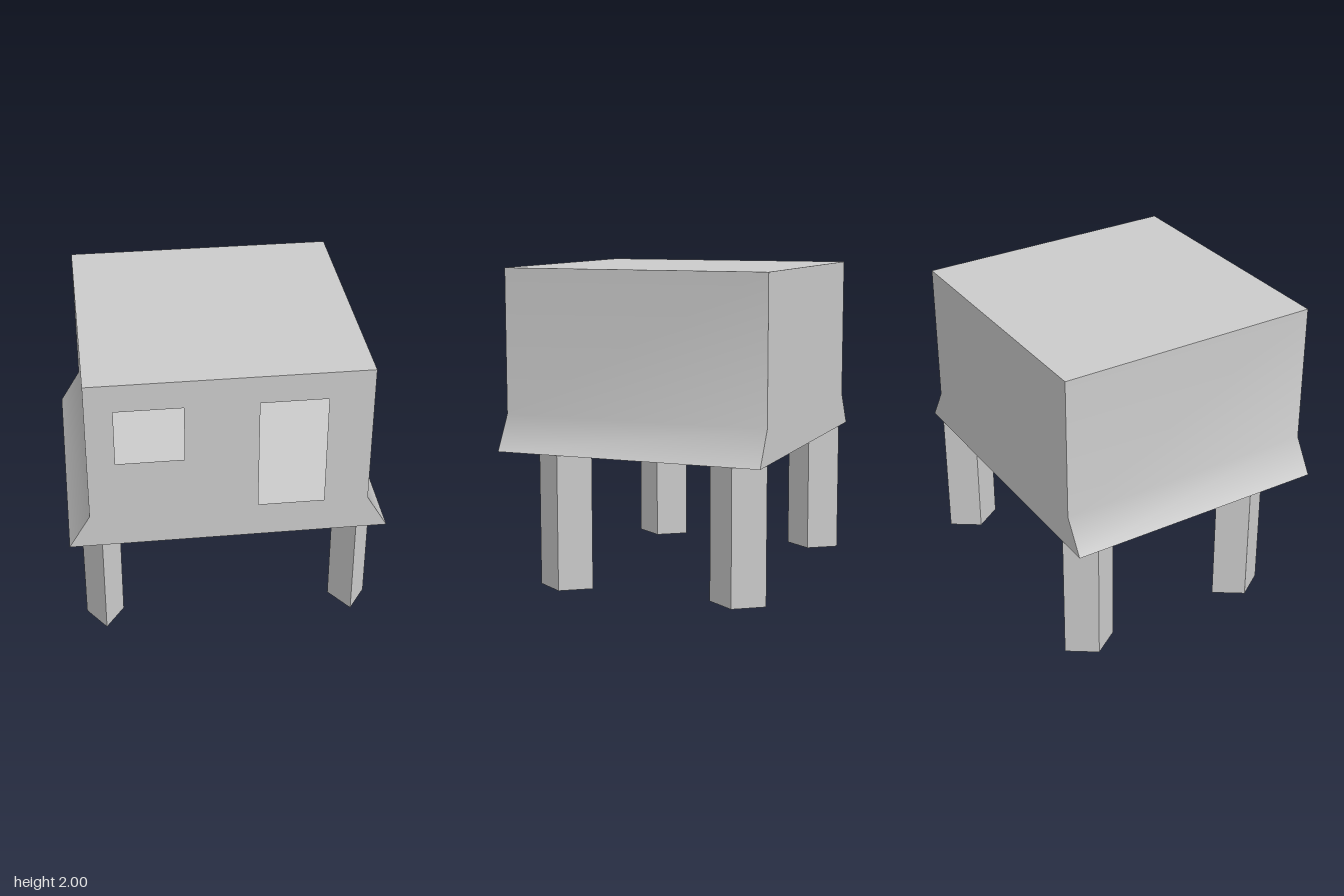
import * as THREE from 'three';

// main dimensions
const ROOF = 2, EAVE = 1.08, FLOOR = 0.86;
const HALF = 0.86, FLARE = 0.992;

const shell = new THREE.MeshStandardMaterial({ color: 0xcccccc, side: THREE.DoubleSide });
const solid = new THREE.MeshStandardMaterial({ color: 0xcccccc, flatShading: true });

function part(name, geometry, material = shell) {
  const mesh = new THREE.Mesh(geometry, material);
  mesh.name = name;
  return mesh;
}

// outline shared by the front and back walls: straight sides, flared foot
function wallShape() {
  return new THREE.Shape([
    [-FLARE, FLOOR], [FLARE, FLOOR], [HALF, EAVE], [HALF, ROOF], [-HALF, ROOF], [-HALF, EAVE],
  ].map(([x, y]) => new THREE.Vector2(x, y)));
}

// rectangular opening
function opening(x0, x1, y0, y1) {
  return new THREE.Path([
    new THREE.Vector2(x0, y0), new THREE.Vector2(x0, y1),
    new THREE.Vector2(x1, y1), new THREE.Vector2(x1, y0),
  ]);
}

// side wall facing +x, blending smoothly into its flared skirt
function sideGeometry() {
  const geometry = new THREE.PlaneGeometry(2 * HALF, 1, 1, 2).rotateY(Math.PI / 2);
  const rows = [[HALF, ROOF], [HALF, EAVE], [FLARE, FLOOR]];
  const pos = geometry.attributes.position;
  for (let i = 0; i < pos.count; i++) {
    const [x, y] = rows[Math.floor(i / 2)];
    pos.setX(i, x);
    pos.setY(i, y);
  }
  geometry.computeVertexNormals();
  return geometry;
}

export function createModel() {
  const model = new THREE.Group();
  model.name = 'stiltHut';

  // front wall with window and door openings
  const frontShape = wallShape();
  frontShape.holes.push(opening(-0.69, -0.275, 1.455, 1.82), opening(0.175, 0.585, 1.085, 1.82));
  const front = part('frontWall', new THREE.ShapeGeometry(frontShape));
  front.position.z = HALF;

  const back = part('backWall', new THREE.ShapeGeometry(wallShape()));
  back.rotation.y = Math.PI;
  back.position.z = -HALF;
  model.add(front, back);

  // side walls
  const side = sideGeometry();
  const left = part('leftWall', side);
  const right = part('rightWall', side);
  right.rotation.y = Math.PI;
  model.add(left, right);

  // roof and floor
  const roof = part('roof', new THREE.PlaneGeometry(2 * HALF, 2 * HALF).rotateX(-Math.PI / 2));
  roof.position.y = ROOF;
  const floor = part('floor', new THREE.PlaneGeometry(2 * FLARE, 2 * HALF).rotateX(Math.PI / 2));
  floor.position.y = FLOOR;
  model.add(roof, floor);

  // four diamond-section stilts
  const stilt = new THREE.CylinderGeometry(1, 1, FLOOR, 4).scale(0.123, 1, 0.18);
  for (const [xName, x] of [['Left', 0.853], ['Right', -0.787]]) {
    for (const [zName, z] of [['front', 0.46], ['back', -0.68]]) {
      const leg = part(`${zName}${xName}Stilt`, stilt, solid);
      leg.position.set(x, FLOOR / 2, z);
      model.add(leg);
    }
  }
  return model;
}
